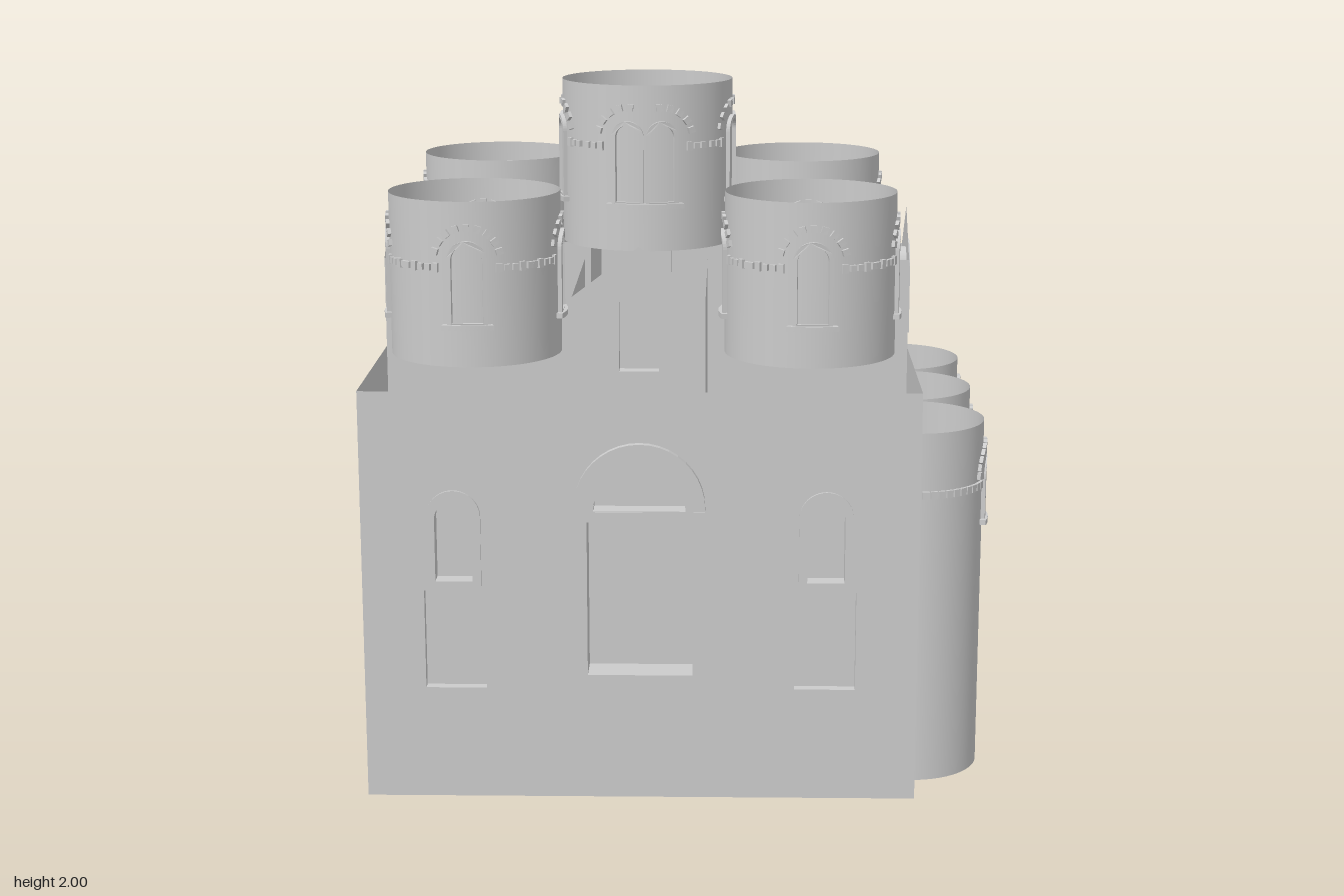
import * as THREE from 'three';
import { mergeGeometries } from 'three/addons/utils/BufferGeometryUtils.js';

const mat = new THREE.MeshStandardMaterial({ color: 0xcccccc, side: THREE.DoubleSide });
const V = (x, y) => new THREE.Vector2(x, y);

function add(parent, geometry, name, x = 0, y = 0, z = 0) {
  const mesh = new THREE.Mesh(geometry, mat);
  mesh.name = name;
  mesh.position.set(x, y, z);
  parent.add(mesh);
  return mesh;
}

// Outlines, counter-clockwise
const rectPts = (cx, y0, y1, r) => [V(cx - r, y0), V(cx + r, y0), V(cx + r, y1), V(cx - r, y1)];
function archPts(cx, y0, yTop, r) {
  const pts = yTop - r > y0 + 0.001 ? [V(cx - r, y0), V(cx + r, y0)] : [];
  for (let i = 0; i <= 20; i++) {
    const a = (i / 20) * Math.PI;
    pts.push(V(cx + r * Math.cos(a), yTop - r + r * Math.sin(a)));
  }
  return pts;
}

function frameGeometry(outer, inner, depth) {
  const shape = new THREE.Shape(outer);
  shape.holes.push(new THREE.Path(inner));
  return new THREE.ExtrudeGeometry(shape, { depth, bevelEnabled: false });
}

// Recess behind an opening: side strip and back panel
function pocket(parent, pts, depth, name) {
  const pos = [];
  pts.forEach((p, i) => {
    const q = pts[(i + 1) % pts.length];
    pos.push(p.x, p.y, 0, q.x, q.y, -depth, q.x, q.y, 0);
    pos.push(p.x, p.y, 0, p.x, p.y, -depth, q.x, q.y, -depth);
  });
  const g = new THREE.BufferGeometry();
  g.setAttribute('position', new THREE.Float32BufferAttribute(pos, 3));
  g.computeVertexNormals();
  add(parent, g, name + 'Reveal');
  add(parent, new THREE.ShapeGeometry(new THREE.Shape(pts)), name + 'Panel', 0, 0, -depth);
}

// Thin wall rising into a central gable, with recessed openings
function facade(name, halfWidth, gableHalf, openings) {
  const g = new THREE.Group();
  g.name = name;
  const shape = new THREE.Shape([
    V(-halfWidth, 0), V(halfWidth, 0), V(halfWidth, 1.2), V(gableHalf, 1.2), V(gableHalf, 1.47),
    V(0, 1.61), V(-gableHalf, 1.47), V(-gableHalf, 1.2), V(-halfWidth, 1.2)]);
  for (const o of openings) {
    shape.holes.push(new THREE.Path(o.pts));
    pocket(g, o.pts, o.depth, o.name);
  }
  add(g, new THREE.ShapeGeometry(shape), 'wall');
  return g;
}

// Wrap flat geometry (x along the arc, z outward) around a cylinder
function bend(geometry, R) {
  const p = geometry.attributes.position;
  for (let i = 0; i < p.count; i++) {
    const a = p.getX(i) / R, r = R + p.getZ(i);
    p.setXYZ(i, Math.sin(a) * r, p.getY(i), Math.cos(a) * r);
  }
  geometry.computeVertexNormals();
  return geometry;
}

// Small block, optionally turned to follow an arch
function block(w, h, d, x, y, turn = 0, z = 0) {
  return new THREE.BoxGeometry(w, h, d, w > 0.06 ? 8 : 1, 1, 1).rotateZ(turn).translate(x, y, z);
}

// Arched window with frame and sill, on a curved wall
function curvedWindow(parent, R, cx, y0, yTop, r) {
  const t = 0.012, frame = frameGeometry(archPts(cx, y0, yTop, r), archPts(cx, y0 + t, yTop - t, r - t), 0.024);
  add(parent, bend(frame.translate(0, 0, -0.012), R), 'windowFrame');
  add(parent, bend(block(2 * r + 0.03, 0.015, 0.035, cx, y0, 0, 0.001), R), 'windowSill');
}

// Blocks along an arch around (cx, cy)
function archBlocks(list, cx, cy, radius, n, w, h, d, from = 0, to = Math.PI) {
  for (let i = 0; i < n; i++) {
    const a = from + ((i + 0.5) / n) * (to - from);
    list.push(block(w, h, d, cx + radius * Math.cos(a), cy + radius * Math.sin(a), a - Math.PI / 2));
  }
}

// Open round tower with windows on its four sides
function tower(name, R, y0, y1, win) {
  const g = new THREE.Group();
  g.name = name;
  add(g, new THREE.CylinderGeometry(R, R, y1 - y0, 64, 1, true), 'drumWall', 0, (y0 + y1) / 2, 0);
  for (let k = 0; k < 4; k++) {
    const side = new THREE.Group();
    side.name = 'windowSide';
    side.rotation.y = (k * Math.PI) / 2;
    const blocks = [], quarter = (R * Math.PI) / 4;
    for (const cx of win.centers) {
      curvedWindow(side, R, cx, win.y0, win.yTop, win.r);
      const twin = win.centers.length > 1;
      archBlocks(blocks, cx, win.bandY + 0.02, 0.095, twin ? 5 : 9, 0.018, 0.02, 0.02,
        twin && cx < 0 ? Math.PI * 0.42 : 0.12, twin && cx > 0 ? Math.PI * 0.58 : Math.PI - 0.12);
    }
    // String course of small blocks between the windows
    for (let s = win.bandStart, i = 0; s < quarter; s += 0.024, i++) {
      for (const m of [-1, 1]) blocks.push(block(0.017, i % 3 ? 0.018 : 0.026, 0.02, m * s, win.bandY));
    }
    add(side, bend(mergeGeometries(blocks), R), 'dentils');
    g.add(side);
  }
  return g;
}

// Half-round apse with one window and a stone arch; faces +z before turning
function apse() {
  const g = new THREE.Group(), R = 0.208, H = 1.05;
  g.name = 'apse';
  add(g, new THREE.CylinderGeometry(R, R, H, 40, 1, true, -Math.PI / 2, Math.PI), 'apseWall', 0, H / 2, 0);
  curvedWindow(g, R, 0, 0.75, 0.94, 0.055);
  const blocks = [];
  archBlocks(blocks, 0, 0.885, 0.09, 13, 0.021, 0.028, 0.022);
  for (let s = 0.085; s < (R * Math.PI) / 2; s += 0.024) {
    for (const m of [-1, 1]) blocks.push(block(0.02, 0.022, 0.018, m * s, 0.868));
  }
  add(g, bend(mergeGeometries(blocks), R), 'archStones');
  g.rotation.y = Math.PI / 2;
  return g;
}

export function createModel() {
  const model = new THREE.Group();
  model.name = 'church';
  const body = new THREE.Group();
  body.name = 'body';
  body.position.x = -0.11;
  model.add(body);
  const W = 0.79, D = 0.783, GX = 0.185, GZ = 0.158;

  // Front and back walls
  for (const front of [true, false]) {
    const openings = [
      { name: 'door', pts: rectPts(0, 0.37, 0.83, 0.15), depth: 0.1 },
      { name: 'lunette', pts: archPts(0, 0.86, 0.99, 0.13), depth: 0.045 },
      { name: 'gableWindow', pts: archPts(0, 1.26, 1.5, 0.055), depth: 0.04 }];
    for (const x of [-0.527, 0.527]) {
      openings.push({ name: 'lowerPanel', pts: rectPts(x, 0.33, 0.62, 0.087), depth: 0.03 });
      if (front) openings.push({ name: 'archedWindow', pts: archPts(x, 0.65, 0.885, 0.053), depth: 0.045 });
    }
    const wall = facade(front ? 'frontWall' : 'backWall', W, GX, openings);
    wall.position.z = front ? D : -D;
    wall.rotation.y = front ? 0 : Math.PI;
    add(wall, new THREE.BoxGeometry(0.37, 0.03, 0.125), 'doorLintel', 0, 0.845, -0.038);
    add(wall, frameGeometry(archPts(0, 0.86, 1.055, 0.185), archPts(0, 0.862, 0.992, 0.13), 0.022), 'doorArch');
    if (front) for (const x of [-0.527, 0.527]) {
      add(wall, frameGeometry(archPts(x, 0.625, 0.915, 0.077), archPts(x, 0.65, 0.885, 0.053), 0.008), 'windowSurround');
    }
    body.add(wall);
  }

  // Side walls
  for (const s of [-1, 1]) {
    const wall = facade(s > 0 ? 'leftWall' : 'rightWall', D, GZ,
      [{ name: 'gableWindow', pts: archPts(0, 1.25, 1.485, 0.053), depth: 0.04 }]);
    wall.position.x = s * W;
    wall.rotation.y = (s * Math.PI) / 2;
    add(wall, frameGeometry(archPts(0, 1.23, 1.508, 0.072), archPts(0, 1.25, 1.485, 0.053), 0.01), 'windowSurround');
    body.add(wall);
  }

  // Raised cross arms and corner towers, one set per quarter
  const top = 1.47, low = 0.9, h = top - low, y = (top + low) / 2;
  for (const sx of [-1, 1]) for (const sz of [-1, 1]) {
    add(body, new THREE.PlaneGeometry(W - GX, h), 'armWall', (sx * (W + GX)) / 2, y, sz * GZ);
    add(body, new THREE.PlaneGeometry(D - GZ, h).rotateY(Math.PI / 2), 'armWall', sx * GX, y, (sz * (D + GZ)) / 2);
    const t = tower('cornerTower', 0.247, 1.25, 1.72,
      { centers: [0], y0: 1.365, yTop: 1.61, r: 0.055, bandY: 1.533, bandStart: 0.09 });
    t.position.set(sx * 0.484, 0, sz * 0.447);
    body.add(t);
  }

  // Central drum with paired windows
  body.add(tower('centralDrum', 0.257, 1.51, 2,
    { centers: [-0.05, 0.05], y0: 1.645, yTop: 1.895, r: 0.047, bandY: 1.82, bandStart: 0.135 }));

  // Row of three apses
  for (const z of [-0.432, 0, 0.432]) {
    const a = apse();
    a.position.set(W, 0, z);
    body.add(a);
  }
  return model;
}
